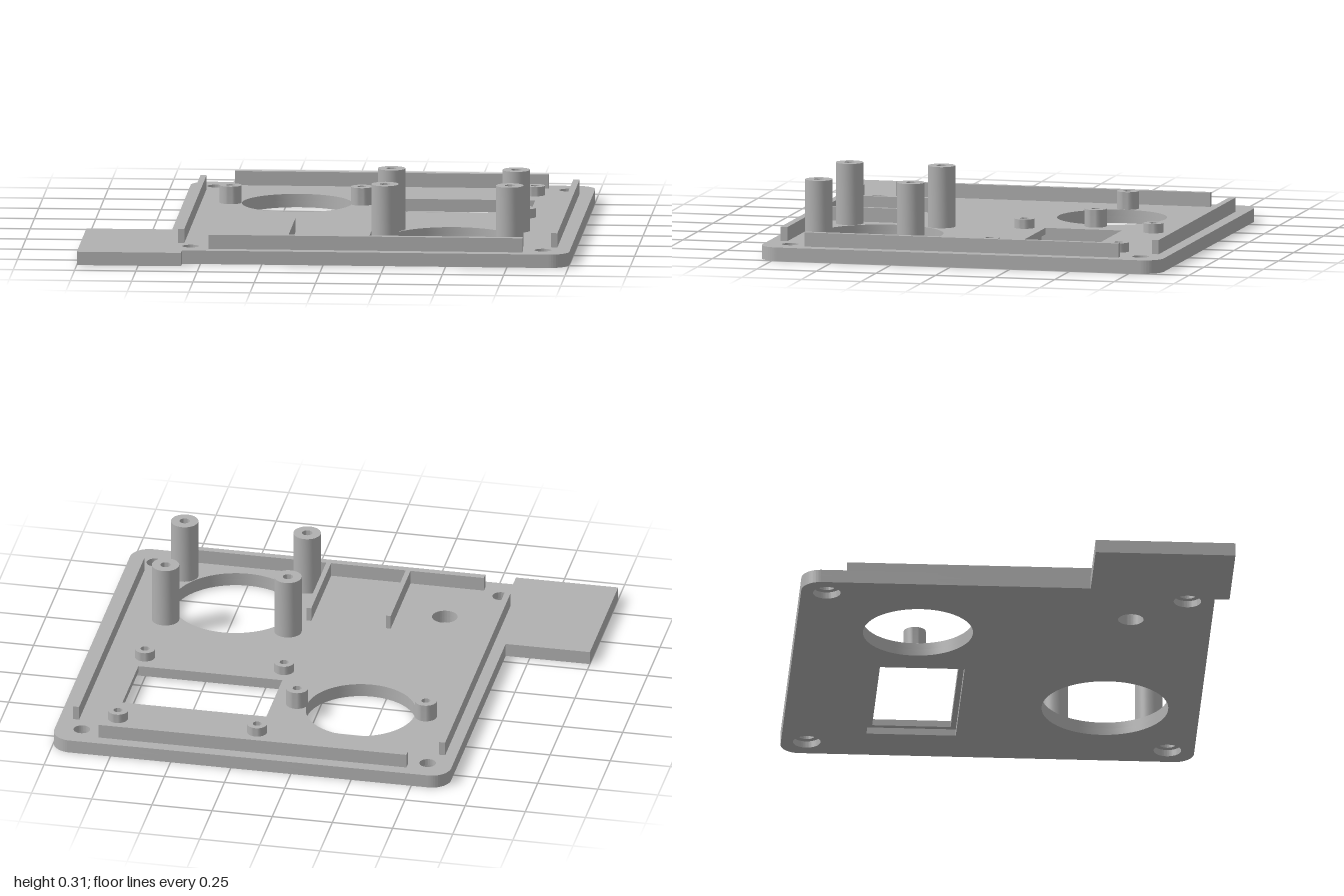
import * as THREE from 'three';
import { toCreasedNormals } from 'three/addons/utils/BufferGeometryUtils.js';

const MID = 0.028, TOP = 0.055, RIB_TOP = 0.113;

export function createModel() {
  const model = new THREE.Group();
  model.name = 'mountingPanel';
  const grey = new THREE.MeshStandardMaterial({ color: 0xb0b0b0 });
  grey.name = 'plastic grey';

  const add = (name, geometry, x = 0, y = 0, z = 0) => {
    const mesh = new THREE.Mesh(geometry, grey);
    mesh.name = name;
    mesh.position.set(x, y, z);
    model.add(mesh);
  };

  // Plan outline (shape y is -z): rounded plate plus square corner tab
  const outline = () => {
    const s = new THREE.Shape(), r = 0.08;
    s.moveTo(-0.65, -0.3);
    s.lineTo(-1, -0.3);
    s.lineTo(-1, -0.87);
    s.lineTo(-0.575, -0.87);
    s.lineTo(-0.575, -0.81);
    s.lineTo(1 - r, -0.81);
    s.absarc(1 - r, -0.81 + r, r, -Math.PI / 2, 0, false);
    s.lineTo(1, 0.875 - r);
    s.absarc(1 - r, 0.875 - r, r, 0, Math.PI / 2, false);
    s.lineTo(-0.65 + r, 0.875);
    s.absarc(-0.65 + r, 0.875 - r, r, Math.PI / 2, Math.PI, false);
    s.closePath();
    return s;
  };

  const circle = (x, z, r) => new THREE.Path().absarc(x, -z, r, 0, Math.PI * 2, true);
  const rect = (x0, x1, z0, z1) => new THREE.Path([[x0, z0], [x0, z1], [x1, z1], [x1, z0]]
    .map(([x, z]) => new THREE.Vector2(x, -z)));

  // One plate layer; the lower one has wider screw holes and window recess
  const layer = (name, y0, y1, screwR, d) => {
    const s = outline();
    s.holes.push(circle(0.497, 0.423, 0.258), circle(-0.188, -0.378, 0.224), circle(-0.36, 0.48, 0.052));
    for (const x of [-0.547, 0.89]) for (const z of [-0.77, 0.7]) s.holes.push(circle(x, z, screwR));
    s.holes.push(rect(0.177 - d, 0.775 + d, -0.51 - d, -0.19 + d));
    const g = new THREE.ExtrudeGeometry(s, { depth: y1 - y0, bevelEnabled: false, curveSegments: 40 });
    g.rotateX(-Math.PI / 2);
    add(name, toCreasedNormals(g, 0.6), 0, y0, 0);
  };
  layer('lowerPlate', 0, MID, 0.056, 0.022);
  layer('upperPlate', MID, TOP, 0.034, 0);

  // Raised ribs
  const rib = (name, x0, x1, z0, z1) => add(name,
    new THREE.BoxGeometry(x1 - x0, RIB_TOP - TOP, z1 - z0), (x0 + x1) / 2, (RIB_TOP + TOP) / 2, (z0 + z1) / 2);
  rib('backRib', -0.47, 0.81, -0.825, -0.798);
  rib('frontRib', -0.47, 0.81, 0.733, 0.762);
  rib('rightRib', -0.603, -0.578, -0.69, 0.628);
  rib('leftRib', 0.918, 0.944, -0.69, 0.628);
  rib('innerRibRight', -0.165, -0.145, 0.335, 0.733);
  rib('innerRibLeft', 0.165, 0.185, 0.335, 0.733);

  // Hollow screw posts with blind bores
  const post = (name, x, z, r, bore, top) => {
    const profile = [[r, TOP], [r, top], [bore, top], [bore, TOP + 0.002], [0, TOP + 0.002]]
      .map(([px, py]) => new THREE.Vector2(px, py));
    add(name, toCreasedNormals(new THREE.LatheGeometry(profile, 32), 0.6), x, 0, z);
  };
  for (const x of [0.24, 0.749]) for (const z of [0.23, 0.616]) post('tallPost', x, z, 0.056, 0.021, 0.306);
  for (const x of [-0.458, 0.077]) post('roundOpeningPost', x, -0.376, 0.045, 0.018, 0.127);
  for (const x of [0.187, 0.765]) for (const z of [-0.647, -0.105]) post('windowPost', x, z, 0.041, 0.018, 0.093);

  return model;
}
